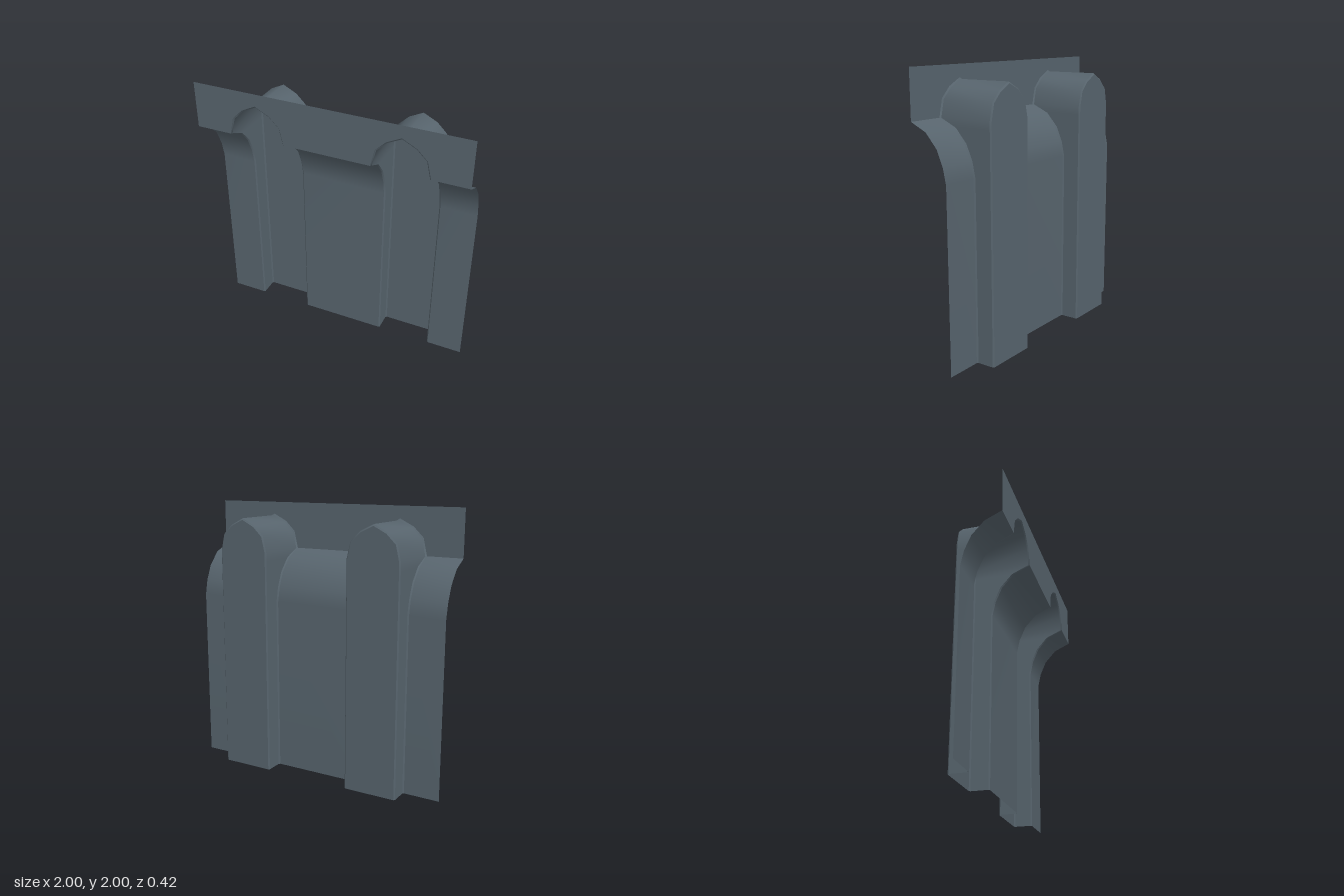
import * as THREE from 'three';

const slate = new THREE.MeshStandardMaterial({ color: 0x57646d, side: THREE.DoubleSide });
slate.name = 'slate';

const FRONT = 0.21, BACK = -0.21, SPRING = 1.66, HALF = 0.2, CENTRE = 0.527, BEVEL = 0.009;

// Wall section as [z, y], from the floor up through the cove to the frieze
const SECTION = [[-0.07, 0], [-0.07, 1.285], [-0.047, 1.395], [0, 1.505], [0.087, 1.603], [FRONT, SPRING]];
// Half of the pointed arch as [x, y], from the springing to the apex
const ARCH = [[0.172, 1.78], [0.1, 1.85], [0, 1.9]];

// Joins rows of points into one smooth open surface
function loft(rows) {
  const n = rows[0].length, index = [];
  for (let r = 0; r < rows.length - 1; r++) {
    for (let i = 0; i < n - 1; i++) {
      const a = r * n + i, b = a + n;
      index.push(a, a + 1, b, b, a + 1, b + 1);
    }
  }
  const geometry = new THREE.BufferGeometry();
  geometry.setAttribute('position', new THREE.Float32BufferAttribute(rows.flat(2), 3));
  geometry.setIndex(index);
  geometry.computeVertexNormals();
  return geometry;
}

// Arched niche outline grown by d; each point is [x, y, z of the wall there]
function outline(cx, d) {
  const s = 1 + d / HALF;
  const right = [
    ...SECTION.map(([z, y]) => [HALF * s, y, z]),
    ...ARCH.map(([x, y]) => [x * s, SPRING + (y - SPRING) * s, FRONT]),
  ];
  const left = right.slice(0, -1).reverse().map(([x, y, z]) => [-x, y, z]);
  return [...right, ...left].map(([x, y, z]) => [cx + x, y, z]);
}

function flatFace(points, z) {
  const shape = new THREE.Shape(points.map(([x, y]) => new THREE.Vector2(x, y)));
  return new THREE.ShapeGeometry(shape).translate(0, 0, z);
}

export function createModel() {
  const model = new THREE.Group();
  model.name = 'nicheWall';
  const add = (parent, name, geometry) => {
    const mesh = new THREE.Mesh(geometry, slate);
    mesh.name = name;
    parent.add(mesh);
  };

  // Coved wall strips beside and between the niches
  const inner = CENTRE - HALF - BEVEL, outer = CENTRE + HALF + BEVEL;
  for (const [name, x0, x1] of [['rightWall', -1, -outer], ['middleWall', -inner, inner], ['leftWall', outer, 1]]) {
    add(model, name, loft([x1, x0].map((x) => SECTION.map(([z, y]) => [x, y, z]))));
  }

  // Flat frieze with the arch heads cut out of its lower edge
  const archHead = (cx) => outline(cx, BEVEL).filter((p) => p[1] >= SPRING);
  add(model, 'frieze', flatFace(
    [[-1, SPRING], ...archHead(-CENTRE).reverse(), ...archHead(CENTRE).reverse(), [1, SPRING], [1, 2], [-1, 2]], FRONT));

  // Arched niches: rounded lip, deep reveal, back bevel and back panel
  for (const [name, cx] of [['rightNiche', -CENTRE], ['leftNiche', CENTRE]]) {
    const niche = new THREE.Group();
    niche.name = name;
    const lip = outline(cx, BEVEL);
    const mouth = outline(cx, 0).map(([x, y, z]) => [x, y, z - BEVEL]);
    const rear = outline(cx, 0).map(([x, y]) => [x, y, BACK + BEVEL]);
    const edge = outline(cx, -BEVEL).map(([x, y]) => [x, y, BACK]);
    add(niche, 'lip', loft([lip, mouth]));
    add(niche, 'reveal', loft([mouth, rear]));
    add(niche, 'backBevel', loft([rear, edge]));
    add(niche, 'backPanel', flatFace(edge, BACK));
    model.add(niche);
  }
  return model;
}
